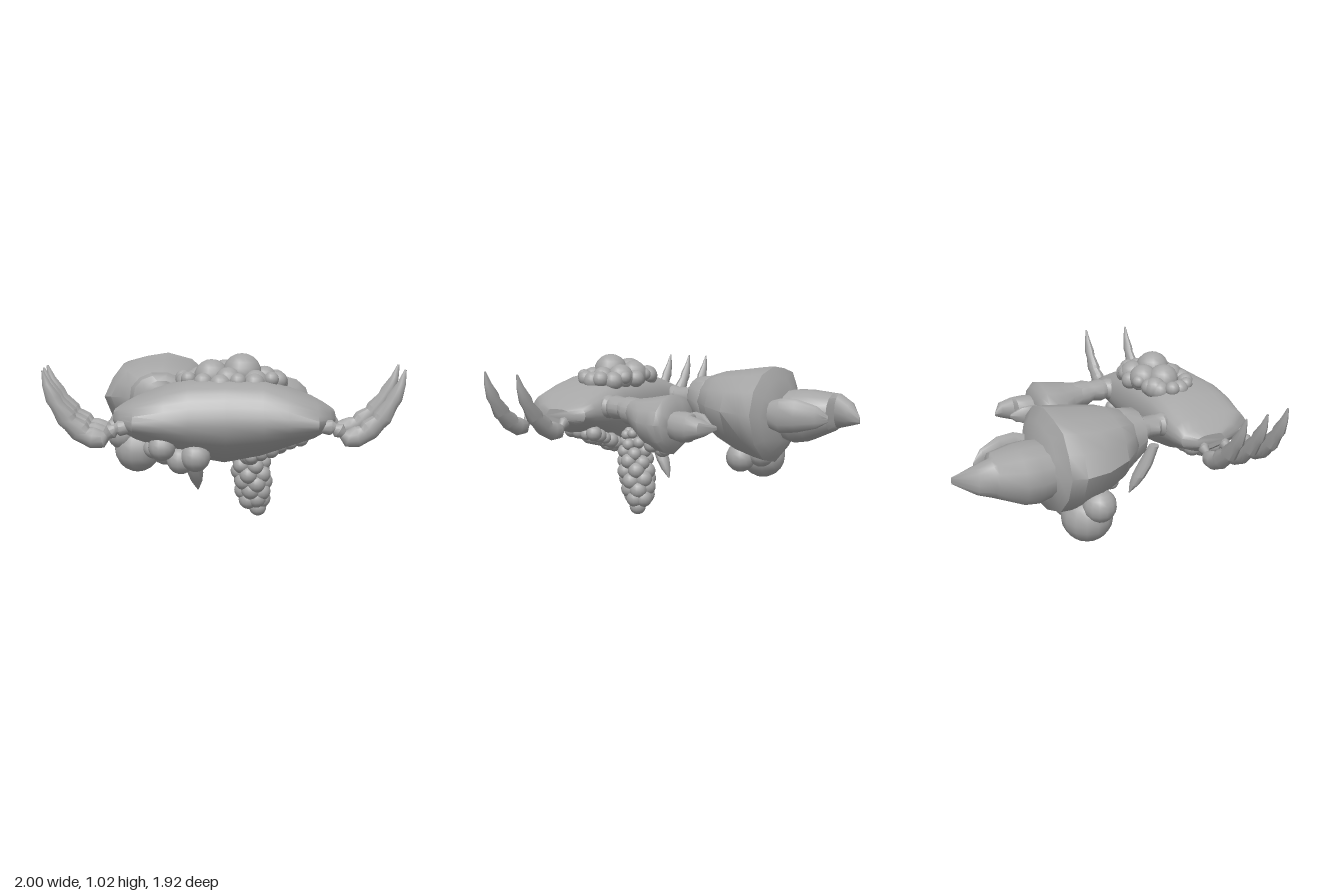
import * as THREE from 'three';
import { toCreasedNormals } from 'three/addons/utils/BufferGeometryUtils.js';

const shellGrey = new THREE.MeshStandardMaterial({ color: 0xa6a6a6 });
shellGrey.name = 'shell grey';

const V = (x, y, z) => new THREE.Vector3(x, y, z);

// Rounded ring; e < 1 gives a boxier outline
function ring(c, u, v, ru, rv, n = 16, e = 1) {
  const pw = (t) => Math.sign(t) * Math.abs(t) ** e;
  return Array.from({ length: n }, (_, i) => {
    const a = (i / n) * Math.PI * 2;
    return c.clone().addScaledVector(u, ru * pw(Math.cos(a))).addScaledVector(v, rv * pw(Math.sin(a)));
  });
}

// Skin a closed solid over rings, always facing outward
function loft(name, rings, crease = 0.75) {
  const n = rings[0].length, pts = rings.flat(), idx = [];
  for (let r = 0; r < rings.length - 1; r++) {
    for (let i = 0; i < n; i++) {
      const a = r * n + i, b = r * n + ((i + 1) % n);
      idx.push(a, b, a + n, b, b + n, a + n);
    }
  }
  const last = (rings.length - 1) * n;
  for (let i = 1; i < n - 1; i++) idx.push(0, i + 1, i, last, last + i, last + i + 1);
  let volume = 0;
  for (let i = 0; i < idx.length; i += 3) {
    volume += pts[idx[i]].dot(pts[idx[i + 1]].clone().cross(pts[idx[i + 2]]));
  }
  if (volume < 0) idx.reverse();
  const g = new THREE.BufferGeometry().setFromPoints(pts);
  g.setIndex(idx);
  const mesh = new THREE.Mesh(toCreasedNormals(g, crease), shellGrey);
  mesh.name = name;
  return mesh;
}

// Solid along z from rows of [z, xMin, xMax, yMin, yMax]
function loftZ(name, rows, n = 16, e = 1) {
  return loft(name, rows.map(([z, x0, x1, y0, y1]) =>
    ring(V((x0 + x1) / 2, (y0 + y1) / 2, z), V(1, 0, 0), V(0, 1, 0), (x1 - x0) / 2, (y1 - y0) / 2, n, e)));
}

// Claw palm: the same rows over an angular outline
function palm(name, rows) {
  const outline = [
    [1, 0.1], [0.86, 0.55], [0.55, 0.86], [0.1, 1], [-0.3, 0.93], [-0.66, 0.82], [-0.86, 0.5], [-1, 0.12],
    [-0.86, -0.35], [-0.55, -0.75], [0, -1], [0.45, -0.88], [0.82, -0.5],
  ];
  return loft(name, rows.map(([z, x0, x1, y0, y1]) => outline.map(([u, v]) =>
    V((x0 + x1 + u * (x1 - x0)) / 2, (y0 + y1 + v * (y1 - y0)) / 2, z))));
}

// Group of balls from rows of [x, y, z, radius]
function cluster(name, rows) {
  const group = new THREE.Group();
  group.name = name;
  for (const [x, y, z, r] of rows) {
    const ball = new THREE.Mesh(new THREE.SphereGeometry(r, 14, 10), shellGrey);
    ball.name = 'ball';
    ball.position.set(x, y, z);
    group.add(ball);
  }
  return group;
}

// Walking leg: bumpy joints, then an upswept blade in the xy plane
function leg(name, side, z, reach) {
  const path = [
    [0.52, 0.65, 0.035], [0.57, 0.645, 0.042], [0.59, 0.64, 0.028], [0.615, 0.63, 0.042], [0.64, 0.61, 0.026],
    [0.665, 0.59, 0.05], [0.72, 0.595, 0.058], [0.76, 0.61, 0.05], [0.79, 0.635, 0.06], [0.84, 0.675, 0.047],
    [0.86, 0.7, 0.055], [0.91, 0.77, 0.038], [0.93, 0.805, 0.042], [0.965, 0.88, 0.024], [0.985, 0.955, 0.006],
  ];
  const at = (i) => {
    const [x, y] = path[Math.min(Math.max(i, 0), path.length - 1)];
    return V(side * (0.5 + (x - 0.5) * reach), y, z);
  };
  return loft(name, path.map(([, , r], i) => {
    const t = at(i + 1).sub(at(i - 1)).normalize();
    return ring(at(i), V(-t.y, t.x, 0), V(0, 0, 1), r, r * 0.78, 10);
  }));
}

// Carapace: one side profile fitted to sections of [x, yBottom, yTop, zBack, zFront]
function carapace() {
  const profile = new THREE.CatmullRomCurve3([
    [1, 0], [0.95, 0.5], [0.86, 0.85], [0.7, 1], [0.28, 1], [0.07, 0.75], [0, 0.15],
    [0.05, -0.35], [0.2, -0.75], [0.44, -1], [0.7, -0.78], [0.89, -0.48],
  ].map(([t, s]) => V(0, s, t)), true).getPoints(28).slice(0, -1);
  const half = [
    [0.615, 0.62, 0.71, 0.49, 0.7], [0.57, 0.585, 0.74, 0.41, 0.82], [0.49, 0.55, 0.785, 0.395, 0.94],
    [0.33, 0.495, 0.845, 0.385, 0.96], [0.2, 0.45, 0.88, 0.38, 0.96],
  ];
  const across = [...half.map(([x, ...r]) => [-x, ...r]), [0, 0.41, 0.885, 0.38, 0.95], ...half.slice().reverse()];
  const mid = 0.665;
  return loft('carapace', across.map(([x, y0, y1, z0, z1]) =>
    profile.map((p) => V(x, mid + p.y * (p.y > 0 ? y1 - mid : mid - y0), z0 + p.z * (z1 - z0)))));
}

export function createModel() {
  const model = new THREE.Group();
  model.name = 'clawed creature';
  model.add(carapace());

  // Walking legs
  for (const side of [-1, 1]) {
    model.add(leg('rearLeg', side, 0.54, 1.02));
    model.add(leg('frontLeg', side, 0.85, side < 0 ? 0.95 : 0.94));
  }
  model.add(leg('middleLeg', -1, 0.69, 1.0));
  model.add(cluster('legStub', [[0.59, 0.64, 0.69, 0.03], [0.605, 0.615, 0.69, 0.025]]));

  // Large claw
  model.add(loftZ('largeClawArm', [
    [0.44, -0.4, -0.3, 0.65, 0.78], [0.39, -0.43, -0.28, 0.64, 0.79], [0.365, -0.42, -0.285, 0.65, 0.78],
    [0.34, -0.44, -0.27, 0.65, 0.78], [0.28, -0.43, -0.28, 0.65, 0.78], [0.23, -0.46, -0.265, 0.63, 0.8],
    [0.17, -0.46, -0.265, 0.63, 0.8],
  ]));
  model.add(loftZ('largeClawWrist', [
    [0.22, -0.48, -0.26, 0.62, 0.83], [0.19, -0.55, -0.22, 0.58, 0.86], [0.09, -0.59, -0.19, 0.51, 0.87],
    [0.05, -0.56, -0.22, 0.53, 0.84],
  ], 14, 0.9));
  model.add(palm('largeClawPalm', [
    [0.13, -0.56, -0.22, 0.55, 0.84], [0.08, -0.62, -0.18, 0.5, 0.875], [-0.02, -0.71, -0.1, 0.44, 0.905],
    [-0.17, -0.77, -0.045, 0.375, 0.925], [-0.31, -0.78, -0.03, 0.335, 0.945], [-0.39, -0.75, -0.035, 0.32, 0.955],
    [-0.43, -0.66, -0.1, 0.37, 0.88], [-0.47, -0.62, -0.22, 0.46, 0.79],
  ]));
  model.add(loftZ('largeFixedFinger', [
    [-0.4, -0.64, -0.27, 0.48, 0.79], [-0.52, -0.665, -0.27, 0.455, 0.805], [-0.61, -0.67, -0.285, 0.47, 0.805],
    [-0.755, -0.635, -0.36, 0.54, 0.79], [-0.775, -0.625, -0.445, 0.56, 0.785], [-0.86, -0.595, -0.425, 0.585, 0.74],
    [-0.963, -0.415, -0.405, 0.62, 0.66],
  ], 14, 0.9));
  model.add(loftZ('largeMovingFinger', [
    [-0.42, -0.27, -0.16, 0.58, 0.74], [-0.52, -0.255, -0.15, 0.55, 0.77], [-0.62, -0.28, -0.17, 0.56, 0.77],
    [-0.74, -0.3, -0.23, 0.59, 0.73], [-0.8, -0.305, -0.295, 0.63, 0.67],
  ], 12));

  // Small claw
  model.add(loftZ('smallClawArm', [
    [0.44, 0.3, 0.41, 0.65, 0.78], [0.39, 0.28, 0.44, 0.64, 0.79], [0.365, 0.295, 0.43, 0.65, 0.78],
    [0.33, 0.28, 0.45, 0.64, 0.79], [0.27, 0.295, 0.44, 0.65, 0.78], [0.22, 0.28, 0.475, 0.62, 0.79],
    [0.1, 0.28, 0.47, 0.6, 0.78],
  ]));
  model.add(palm('smallClawPalm', [
    [0.18, 0.28, 0.47, 0.61, 0.78], [0.1, 0.25, 0.525, 0.56, 0.79], [0.03, 0.2, 0.565, 0.505, 0.8],
    [-0.05, 0.18, 0.575, 0.475, 0.815], [-0.11, 0.18, 0.58, 0.465, 0.825], [-0.14, 0.2, 0.56, 0.5, 0.79],
    [-0.16, 0.27, 0.5, 0.57, 0.73],
  ]));
  model.add(loftZ('smallFixedFinger', [
    [-0.12, 0.33, 0.5, 0.57, 0.73], [-0.21, 0.325, 0.52, 0.555, 0.735], [-0.265, 0.345, 0.52, 0.56, 0.73],
    [-0.28, 0.4, 0.52, 0.57, 0.72], [-0.36, 0.4, 0.505, 0.6, 0.7], [-0.42, 0.385, 0.395, 0.64, 0.66],
  ], 14, 0.9));
  model.add(loftZ('smallMovingFinger', [
    [-0.13, 0.27, 0.325, 0.61, 0.7], [-0.2, 0.25, 0.31, 0.59, 0.72], [-0.27, 0.265, 0.32, 0.6, 0.71],
    [-0.34, 0.315, 0.325, 0.64, 0.66],
  ], 10));

  // Mound of balls on the back
  const mound = [[0.1, 0.915, 0.59, 0.11], [-0.07, 0.89, 0.57, 0.1], [0.01, 0.89, 0.47, 0.09], [0.15, 0.88, 0.47, 0.085],
    [0.02, 0.88, 0.68, 0.075], [-0.14, 0.87, 0.47, 0.07], [0.23, 0.88, 0.55, 0.07], [0.17, 0.87, 0.68, 0.07]];
  for (let i = 0; i < 17; i++) {
    const a = (i / 17) * Math.PI * 2, k = (i * 2) % 5;
    mound.push([0.045 + (0.255 + 0.008 * k) * Math.cos(a), 0.86 + 0.007 * k, 0.575 + 0.168 * Math.sin(a), 0.062 - 0.005 * k]);
  }
  model.add(cluster('backBalls', mound));

  // Balls below the body: large on one side, small rows on the other
  model.add(cluster('largeBellyBalls', [
    [-0.34, 0.54, 0.845, 0.073], [-0.24, 0.46, 0.79, 0.078], [-0.16, 0.485, 0.84, 0.08], [-0.39, 0.52, 0.77, 0.055],
    [-0.29, 0.49, 0.68, 0.065], [-0.16, 0.46, 0.71, 0.065],
  ]));
  const belly = [];
  for (let i = 0; i < 6; i++) {
    for (let j = 0; j < 4; j++) {
      belly.push([0.15 + i * 0.055, 0.425 + i * 0.022 + 0.01 * Math.abs(j - 1), 0.47 + j * 0.062, 0.038 + 0.006 * ((i + j) % 3)]);
    }
  }
  model.add(cluster('smallBellyBalls', belly));

  // Hanging bunch of balls, widest in the middle
  const bunch = [[0.215, 0.053, 0.29, 0.053]];
  for (let row = 0; row < 8; row++) {
    const t = row / 7, spread = 0.045 + 0.03 * Math.sin(Math.PI * t), y = 0.11 + t * 0.4;
    for (let k = 0; k < 5; k++) {
      const a = (k + row * 0.5) * Math.PI * 0.4;
      bunch.push([0.19 - t * 0.04 + spread * Math.cos(a), y + 0.012 * (k % 2), 0.295 + t * 0.08 + spread * Math.sin(a),
        0.058 - 0.026 * t ** 2]);
    }
  }
  model.add(cluster('hangingBunch', bunch));

  // Balls below the claws
  model.add(cluster('largeClawBalls', [
    [-0.56, 0.325, -0.21, 0.155], [-0.66, 0.43, -0.18, 0.1], [-0.37, 0.33, -0.14, 0.1], [-0.42, 0.36, -0.27, 0.09],
  ]));
  model.add(cluster('smallClawBalls', [
    [0.3, 0.51, 0.0, 0.05], [0.38, 0.49, -0.03, 0.05], [0.45, 0.52, 0.0, 0.045], [0.36, 0.53, 0.06, 0.04],
    [0.42, 0.5, -0.08, 0.04],
  ]));

  // Spike under the rear edge
  const spike = [[0.5, 0.45, 0.035], [0.37, 0.4, 0.05], [0.29, 0.36, 0.048], [0.23, 0.33, 0.034], [0.17, 0.3, 0.004]];
  model.add(loft('spike', spike.map(([y, z, r]) =>
    ring(V(-0.19 + (0.46 - y) * 0.13, y, z), V(1, 0, 0), V(0, 0, 1), r, r * 0.9, 10))));
  return model;
}
